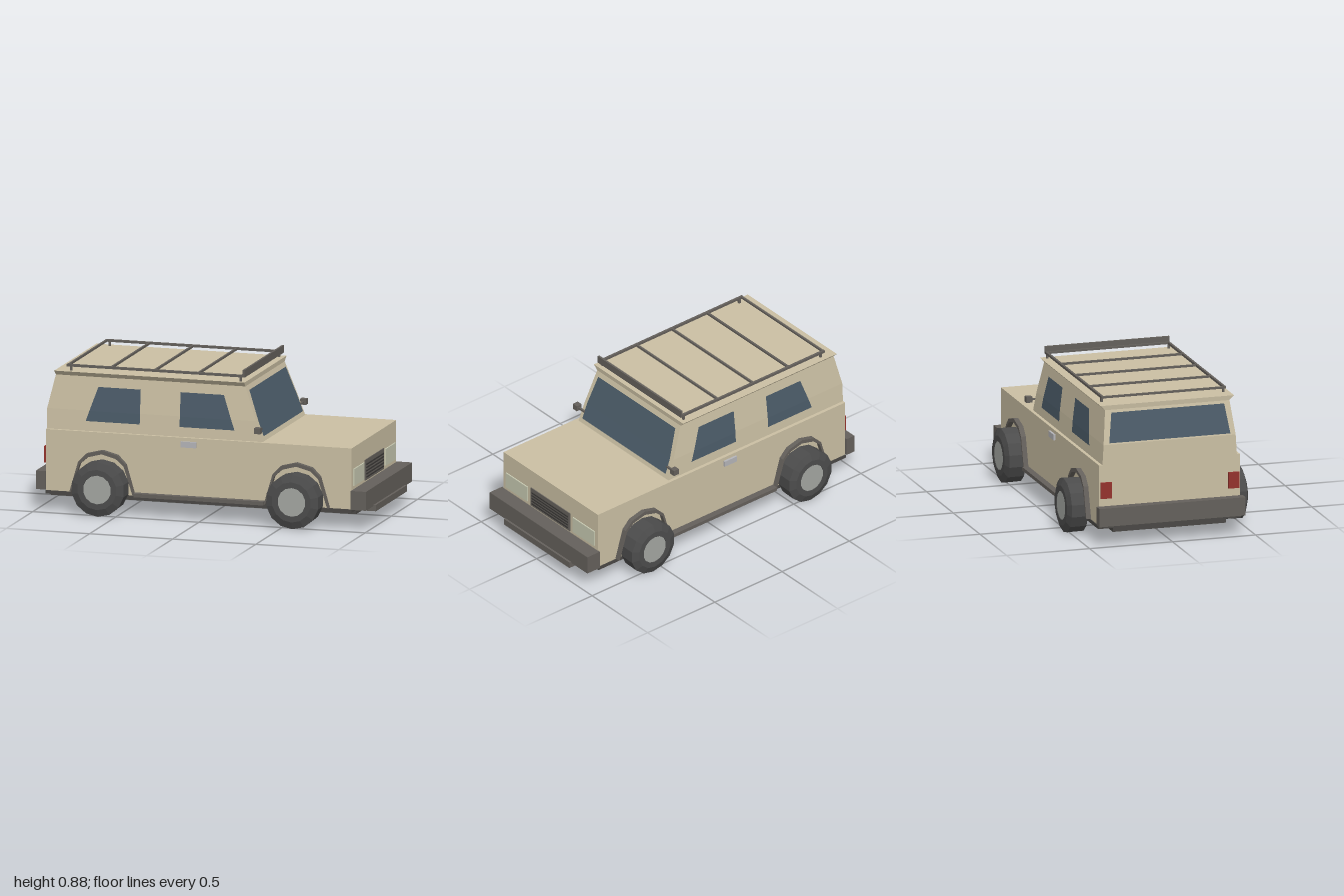
import * as THREE from 'three';

const mat = (color) => new THREE.MeshStandardMaterial({ color, flatShading: true, side: THREE.DoubleSide });

export function createModel() {
  const car = new THREE.Group();
  car.name = 'offRoader';
  const paint = mat(0xcabfa3), trim = mat(0x64605b), under = mat(0x4a4845), glass = mat(0x4b5b68);
  const rubber = mat(0x4c4c4c), hubGrey = mat(0xa3a6a1), lamp = mat(0xc6c8b0), red = mat(0x94322c);
  const chrome = mat(0xb4b4b8), slatDark = mat(0x3a3836);

  const add = (name, geometry, material) => {
    const mesh = new THREE.Mesh(geometry, material);
    mesh.name = name;
    car.add(mesh);
    return mesh;
  };
  // box given by its limits on each axis
  const box = (name, material, x0, x1, y0, y1, z0, z1) =>
    add(name, new THREE.BoxGeometry(x1 - x0, y1 - y0, z1 - z0), material)
      .position.set((x0 + x1) / 2, (y0 + y1) / 2, (z0 + z1) / 2);
  const pair = (name, material, x0, x1, y0, y1, z0, z1) => {
    box(name + 'Left', material, x0, x1, y0, y1, z0, z1);
    box(name + 'Right', material, x0, x1, y0, y1, -z1, -z0);
  };
  const fromTriangles = (triangles) => {
    const g = new THREE.BufferGeometry();
    g.setAttribute('position', new THREE.Float32BufferAttribute(triangles.flat(2), 3));
    g.computeVertexNormals();
    return g;
  };
  const quad = (a, b, c, d) => [[a, b, c], [a, c, d]];

  // closed solid through rectangular levels [y, rear x, front x, half width]
  const loft = (levels) => {
    const rings = levels.map(([y, r, f, w]) => [[r, y, w], [f, y, w], [f, y, -w], [r, y, -w]]);
    const tris = [];
    for (let i = 0; i < rings.length - 1; i++) {
      for (let k = 0; k < 4; k++) {
        const n = (k + 1) % 4;
        tris.push(...quad(rings[i][k], rings[i][n], rings[i + 1][n], rings[i + 1][k]));
      }
    }
    const [a, b, c, d] = rings[0];
    tris.push(...quad(d, c, b, a), ...quad(...rings[rings.length - 1]));
    return fromTriangles(tris);
  };
  // sheet between rows of point pairs
  const sheet = (rows) => {
    const tris = [];
    for (let i = 0; i < rows.length - 1; i++) {
      tris.push(...quad(rows[i][0], rows[i][1], rows[i + 1][1], rows[i + 1][0]));
    }
    return fromTriangles(tris);
  };

  // Lower body, floor and frame
  box('lowerBody', paint, -0.945, 0.895, 0.115, 0.472, -0.425, 0.425);
  box('floor', under, -0.945, 0.895, 0.095, 0.115, -0.43, 0.43);
  box('chassis', under, -0.94, 0.895, 0.07, 0.095, -0.34, 0.34);

  // Cabin and flared roof
  const levels = [[0.47, -0.945, 0.355, 0.405], [0.59, -0.945, 0.311, 0.398], [0.785, -0.9, 0.24, 0.375]];
  add('cabin', loft(levels), paint);
  add('roof', loft([[0.785, -0.9, 0.24, 0.375], [0.812, -0.902, 0.242, 0.402]]), paint);

  // value of a cabin level column at height y
  const at = (y, col) => {
    const i = y < 0.59 ? 0 : 1, a = levels[i], b = levels[i + 1];
    return a[col] + (b[col] - a[col]) * (y - a[0]) / (b[0] - a[0]);
  };

  // Side windows, folded along the cabin crease
  const sideWindow = (name, rows) => {
    for (const s of [1, -1]) {
      const points = rows.map(([y, x0, x1]) => [x0, x1].map((x) => [x, y, s * (at(y, 3) + 0.007)]));
      add(name + (s > 0 ? 'Left' : 'Right'), sheet(points), glass);
    }
  };
  sideWindow('frontWindow', [[0.53, -0.145, 0.185], [0.59, -0.145, 0.164], [0.73, -0.145, 0.115]]);
  sideWindow('rearWindow', [[0.53, -0.71, -0.385], [0.59, -0.689, -0.385], [0.73, -0.64, -0.385]]);

  // Windscreen and tailgate glass
  const crossWindow = (name, col, offset, rows) => add(name, sheet(rows.map(([y, w]) =>
    [w, -w].map((z) => [at(y, col) + offset, y, z]))), glass);
  crossWindow('windscreen', 2, 0.006, [[0.5, 0.375], [0.59, 0.373], [0.76, 0.347]]);
  crossWindow('tailgateWindow', 1, -0.006, [[0.6, 0.365], [0.77, 0.34]]);

  // Nose: grille, slats and headlights
  box('grille', trim, 0.89, 0.9, 0.235, 0.356, -0.176, 0.176);
  for (let i = 0; i < 5; i++) {
    const y = 0.25 + i * 0.0185;
    box('grilleSlat', slatDark, 0.895, 0.904, y, y + 0.008, -0.163, 0.163);
  }
  pair('headlight', lamp, 0.89, 0.903, 0.248, 0.346, 0.205, 0.398);

  // Bumpers, skid plate and tail lamps
  box('frontBumper', trim, 0.893, 0.986, 0.115, 0.226, -0.44, 0.44);
  box('skidPlate', trim, 0.89, 1.0, 0.085, 0.122, -0.295, 0.295);
  box('rearBumper', trim, -1.0, -0.943, 0.12, 0.228, -0.44, 0.44);
  pair('tailLight', red, -0.958, -0.94, 0.275, 0.37, 0.352, 0.418);

  // Sills, handles and mirrors
  pair('sill', trim, -0.405, 0.375, 0.113, 0.134, 0.42, 0.464);
  pair('doorHandle', chrome, -0.13, -0.038, 0.417, 0.451, 0.42, 0.438);
  pair('mirrorArm', trim, 0.33, 0.342, 0.537, 0.547, 0.37, 0.425);
  pair('mirror', trim, 0.318, 0.354, 0.527, 0.561, 0.42, 0.456);

  // Wheels and arch flares
  const outer = [[0.195, 0.118], [0.142, 0.298], [0.093, 0.348], [0, 0.372]];
  const inner = [[0.186, 0.118], [0.132, 0.286], [0.084, 0.328], [0, 0.35]];
  const arc = (half) => [...half.map(([x, y]) => [-x, y]), ...half.slice(0, -1).reverse()];
  const archShape = new THREE.Shape([...arc(outer), ...arc(inner).reverse()].map(([x, y]) => new THREE.Vector2(x, y)));
  const archGeometry = new THREE.ExtrudeGeometry(archShape, { depth: 0.035, bevelEnabled: false });
  const tyreProfile = [[0, 0], [0.158, 0], [0.16, 0.098], [0.118, 0.115], [0.085, 0.115], [0.083, 0.108]]
    .map(([r, h]) => new THREE.Vector2(r, h));
  const tyreGeometry = new THREE.LatheGeometry(tyreProfile, 14).rotateX(Math.PI / 2);
  const hubGeometry = new THREE.CylinderGeometry(0.084, 0.084, 0.1, 14).rotateX(Math.PI / 2);
  for (const x of [-0.6, 0.57]) {
    for (const s of [1, -1]) {
      const end = (x > 0 ? 'front' : 'rear') + (s > 0 ? 'Left' : 'Right');
      const arch = add(end + 'Arch', archGeometry, trim);
      arch.position.set(x, 0, s * 0.419);
      arch.scale.z = s;
      const tyre = add(end + 'Tyre', tyreGeometry, rubber);
      tyre.position.set(x, 0.159, s * 0.43);
      tyre.scale.z = s;
      add(end + 'Hub', hubGeometry, hubGrey).position.set(x, 0.159, s * 0.492);
    }
  }

  // Roof rack with wind deflector
  pair('rackRail', trim, -0.835, 0.235, 0.836, 0.85, 0.361, 0.375);
  for (const x of [-0.828, -0.57, -0.308, -0.045, 0.218]) {
    box('rackBar', trim, x - 0.006, x + 0.006, 0.837, 0.849, -0.37, 0.37);
  }
  box('rackDeflector', trim, 0.224, 0.236, 0.836, 0.88, -0.375, 0.375);
  for (const x of [-0.81, 0.21]) pair('rackFoot', trim, x - 0.006, x + 0.006, 0.81, 0.838, 0.36, 0.373);

  return car;
}
